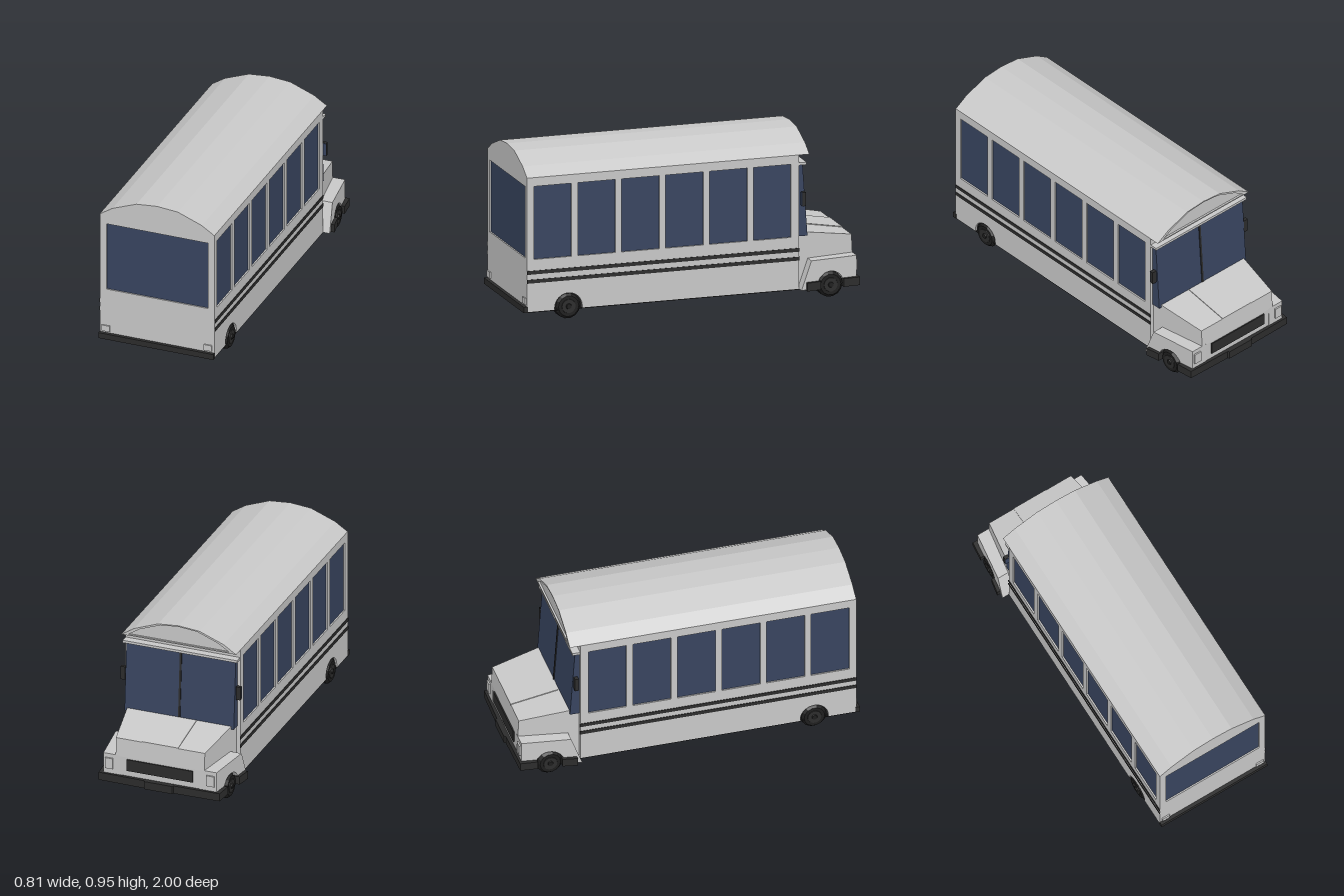
import * as THREE from 'three';

export function createModel() {
  const mat = (name, color) => {
    const m = new THREE.MeshStandardMaterial({ color });
    m.name = name;
    return m;
  };
  const paint = mat('body grey', 0xc8c8c8);
  const glass = mat('window blue', 0x38445f);
  const trim = mat('trim black', 0x2c2c2c);
  const rubber = mat('tyre black', 0x1e1e1e);

  const bus = new THREE.Group();
  bus.name = 'bus';
  const add = (parent, name, geo, m) => {
    const mesh = new THREE.Mesh(geo, m);
    mesh.name = name;
    parent.add(mesh);
    return mesh;
  };
  // box given by its limits on each axis
  const box = (x0, x1, y0, y1, z0, z1) =>
    new THREE.BoxGeometry(x1 - x0, y1 - y0, z1 - z0)
      .translate((x0 + x1) / 2, (y0 + y1) / 2, (z0 + z1) / 2);
  const poly = (pts) => new THREE.Shape(pts.map(([x, y]) => new THREE.Vector2(x, y)));
  const rect = (x0, x1, y0, y1) => poly([[x0, y0], [x1, y0], [x1, y1], [x0, y1]]);
  const extrude = (shape, depth) =>
    new THREE.ExtrudeGeometry(shape, { depth, bevelEnabled: false, curveSegments: 10 });
  // side profile, drawn as (distance towards the nose, height), extruded across x
  const across = (shape, x0, x1) =>
    extrude(shape, x1 - x0).rotateY(Math.PI / 2).translate(x0, 0, 0);
  // reshape x by a rule of x and z
  const bendX = (geo, rule) => {
    const p = geo.attributes.position;
    for (let i = 0; i < p.count; i++) p.setX(i, rule(p.getX(i), p.getZ(i)));
    geo.computeVertexNormals();
    return geo;
  };

  // chassis, end walls
  add(bus, 'chassis', box(-0.335, 0.335, 0.06, 0.22, -0.62, 0.95), rubber);
  add(bus, 'underside', box(-0.345, 0.345, 0.055, 0.0605, -0.97, 0.975), rubber);
  add(bus, 'frontWall', box(-0.33, 0.33, 0.06, 0.84, -0.63, -0.61), paint);
  const rear = rect(-0.33, 0.33, 0.06, 0.84);
  rear.holes.push(rect(-0.307, 0.307, 0.365, 0.78));
  add(bus, 'rearWall', extrude(rear, 0.02).translate(0, 0, 0.96), paint);
  add(bus, 'rearWindow', box(-0.32, 0.32, 0.35, 0.79, 0.95, 0.972), glass);
  add(bus, 'rearBumper', box(-0.348, 0.348, 0.056, 0.09, 0.975, 1), trim);

  // arched roof with a raised rim over the windscreen
  const arch = (k, base) => [
    [0.347, 0.835], [0.27, 0.885], [0.125, 0.941], [0, 0.952],
    [-0.125, 0.941], [-0.27, 0.885], [-0.347, 0.835],
  ].map(([x, y]) => [x * k, base + (y - 0.835) * k]);
  add(bus, 'roof', extrude(poly(arch(1, 0.835)), 1.66).translate(0, 0, -0.68), paint);
  const rim = poly(arch(1, 0.835));
  rim.holes.push(poly(arch(0.88, 0.842)));
  add(bus, 'roofRim', extrude(rim, 0.011).translate(0, 0, -0.691), paint);

  // windscreen
  const screen = poly([[0.62, 0.36], [0.685, 0.36], [0.656, 0.775], [0.62, 0.775]]);
  add(bus, 'windscreen', across(screen, -0.33, 0.33), glass);
  const bar = poly([[0.68, 0.37], [0.689, 0.37], [0.661, 0.775], [0.65, 0.775]]);
  add(bus, 'windscreenBar', across(bar, -0.006, 0.006), trim);
  add(bus, 'windscreenLedge', box(-0.345, 0.345, 0.775, 0.79, -0.675, -0.62), paint);

  // bonnet, narrowing towards the nose
  const narrow = (z) => THREE.MathUtils.mapLinear(z, -0.7, -0.97, 0.312, 0.268);
  const hood = poly([[0.62, 0.065], [0.968, 0.065], [0.972, 0.22], [0.966, 0.33], [0.68, 0.378], [0.62, 0.385]]);
  add(bus, 'bonnet', bendX(across(hood, -1, 1), (x, z) => x * narrow(z)), paint);
  const panel = poly([[0.69, 0.37], [0.967, 0.324], [0.967, 0.334], [0.69, 0.381]]);
  add(bus, 'bonnetPanel', across(panel, -0.107, 0.107), paint);
  add(bus, 'grille', box(-0.2, 0.2, 0.14, 0.21, -0.979, -0.96), trim);

  // front bumper
  const bumper = poly([
    [-0.375, 0.885], [-0.365, 0.985], [-0.09, 0.99], [-0.085, 1], [0.085, 1], [0.09, 0.99],
    [0.365, 0.985], [0.375, 0.885], [0.33, 0.885], [0.33, 0.955], [-0.33, 0.955], [-0.33, 0.885],
  ]);
  add(bus, 'frontBumper', extrude(bumper, 0.047).rotateX(-Math.PI / 2).translate(0, 0.057, 0), trim);

  const wheel = (parent, name, xOuter, width, z) => {
    const g = new THREE.Group();
    g.name = name;
    const disc = (r0, r1, x0, x1) => new THREE.CylinderGeometry(r1, r0, x1 - x0, 14)
      .toNonIndexed().rotateZ(-Math.PI / 2).translate((x0 + x1) / 2, 0, 0);
    const flat = (geo) => { geo.computeVertexNormals(); return geo; };
    add(g, 'tyre', flat(disc(0.075, 0.075, -width, -0.018)), rubber);
    add(g, 'tyreShoulder', flat(disc(0.075, 0.06, -0.018, 0)), rubber);
    add(g, 'wheelRim', flat(disc(0.045, 0.04, -0.01, 0.003)), trim);
    add(g, 'hub', flat(disc(0.018, 0.014, 0, 0.008)), rubber);
    g.position.set(xOuter, 0.075, z);
    parent.add(g);
  };

  // everything that repeats on both flanks
  for (const s of [1, -1]) {
    const side = new THREE.Group();
    side.name = s > 0 ? 'leftFlank' : 'rightFlank';
    side.scale.x = s;
    bus.add(side);

    // side wall with wheel arch and six windows
    const wall = new THREE.Shape();
    wall.moveTo(-0.98, 0.06);
    wall.lineTo(-0.818, 0.06);
    wall.absarc(-0.735, 0.07, 0.082, Math.PI, 0, true);
    wall.lineTo(-0.653, 0.06);
    wall.lineTo(0.63, 0.06);
    wall.lineTo(0.63, 0.836);
    wall.lineTo(-0.98, 0.836);
    for (let i = 0; i < 6; i++) {
      const u = -0.94 + i * 0.26;
      wall.holes.push(rect(u, u + 0.223, 0.362, 0.785));
    }
    add(side, 'sideWall', across(wall, 0.325, 0.347), paint);
    add(side, 'sideWindows', box(0.32, 0.338, 0.34, 0.8, -0.6, 0.955), glass);
    for (const y of [0.225, 0.276])
      add(side, 'stripe', box(0.345, 0.35, y, y + 0.021, -0.631, 0.98), trim);

    // wing over the front wheel
    const wing = new THREE.Shape();
    wing.moveTo(0.63, 0.06);
    wing.lineTo(0.728, 0.06);
    wing.absarc(0.81, 0.07, 0.082, Math.PI, 0, true);
    wing.lineTo(0.892, 0.06);
    wing.lineTo(0.972, 0.06);
    wing.lineTo(0.972, 0.225);
    wing.lineTo(0.692, 0.225);
    const flare = (z) => THREE.MathUtils.mapLinear(z, -0.69, -0.972, 0.38, 0.342);
    add(side, 'wing', bendX(across(wing, 0, 1), (x, z) => (x > 0.5 ? flare(z) : 0.24)), paint);
    add(side, 'headlight', box(0.283, 0.33, 0.135, 0.2, -0.981, -0.97), paint);
    add(side, 'step', bendX(box(0.32, 0.405, 0.056, 0.104, -0.745, -0.66),
      (x, z) => (x > 0.35 && z < -0.7 ? 0.39 : x)), trim);
    add(side, 'tailLight', box(0.285, 0.333, 0.1, 0.136, 0.975, 0.988), paint);

    // door mirror
    add(side, 'mirror', box(0.335, 0.362, 0.54, 0.62, -0.665, -0.645), trim);
    add(side, 'mirrorGlass', box(0.337, 0.361, 0.542, 0.618, -0.646, -0.642), glass);

    wheel(side, 'frontWheel', 0.367, 0.11, -0.81);
    wheel(side, 'rearWheel', 0.35, 0.09, 0.735);
  }
  return bus;
}
